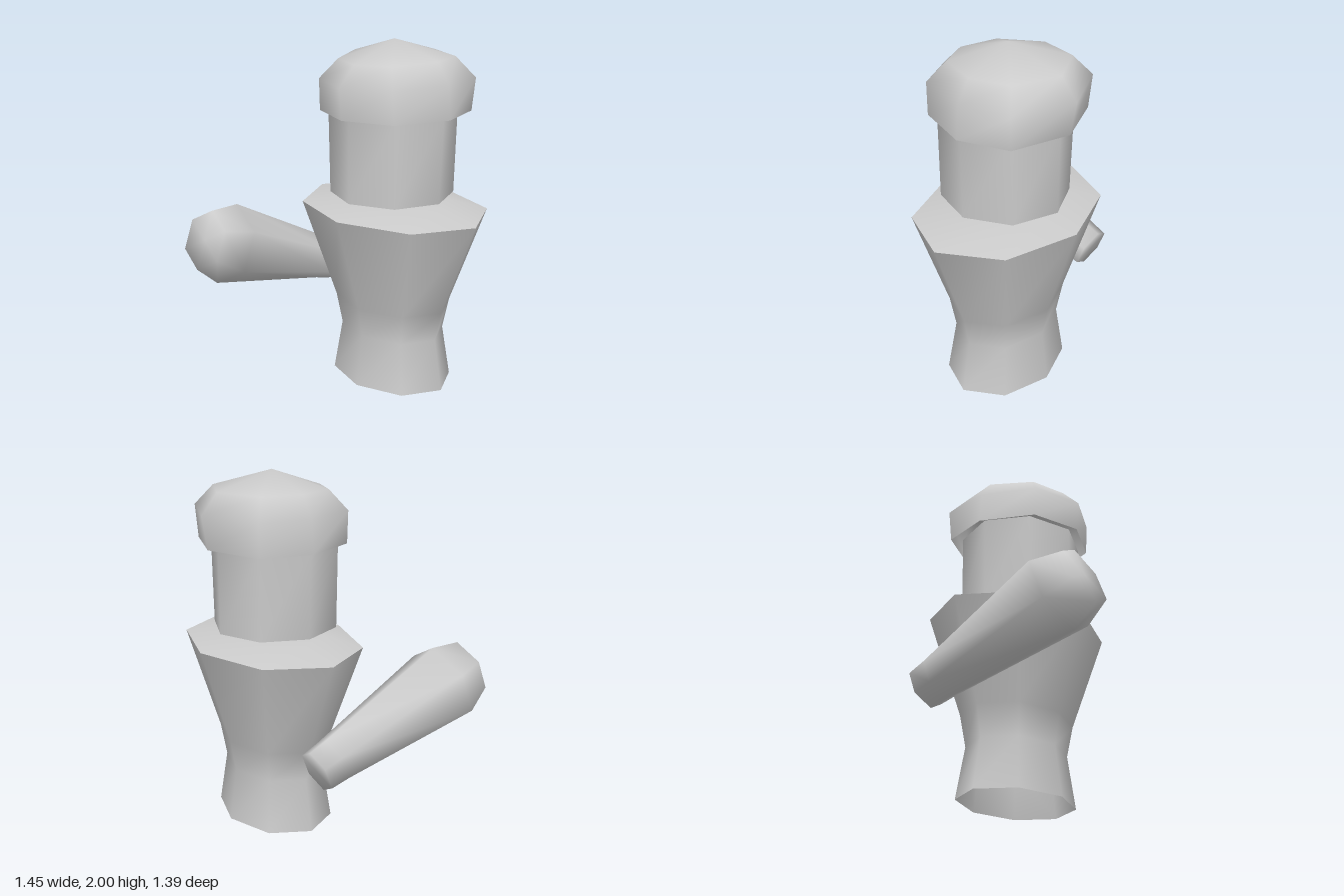
import * as THREE from 'three';

const material = new THREE.MeshStandardMaterial({ color: 0xcccccc, side: THREE.DoubleSide });

// Ring of n points around the y axis, first point towards +z
function ring(n, y, rx, rz = rx) {
  return Array.from({ length: n }, (_, i) => {
    const a = (i / n) * Math.PI * 2;
    return [rx * Math.sin(a), y, rz * Math.cos(a)];
  });
}

// Ring from its +x half (front to back), mirrored to -x
function mirroredRing(half) {
  const other = half.slice(1, -1).reverse().map(([x, y, z]) => [-x, y, z]);
  return [...half, ...other];
}

// Smooth skin through rings from bottom to top, with optional end points
function loft(name, rings, bottom, top) {
  const n = rings[0].length;
  const points = rings.flat();
  const index = [];
  for (let r = 0; r < rings.length - 1; r++) {
    for (let i = 0; i < n; i++) {
      const a = r * n + i, b = r * n + (i + 1) % n;
      index.push(a, b, b + n, a, b + n, a + n);
    }
  }
  if (bottom) {
    points.push(bottom);
    for (let i = 0; i < n; i++) index.push(points.length - 1, (i + 1) % n, i);
  }
  if (top) {
    points.push(top);
    const s = (rings.length - 1) * n;
    for (let i = 0; i < n; i++) index.push(points.length - 1, s + i, s + (i + 1) % n);
  }
  const geometry = new THREE.BufferGeometry();
  geometry.setAttribute('position', new THREE.Float32BufferAttribute(points.flat(), 3));
  geometry.setIndex(index);
  geometry.computeVertexNormals();
  const mesh = new THREE.Mesh(geometry, material);
  mesh.name = name;
  return mesh;
}

export function createModel() {
  const model = new THREE.Group();
  model.name = 'figure';

  // Torso: waisted eight-sided shell, open below
  const torso = loft('torso', [
    ring(8, 0, 0.39, 0.3),
    ring(8, 0.3, 0.335, 0.257),
    ring(8, 0.48, 0.375, 0.288),
    ring(8, 1.045, 0.597, 0.458),
  ]);
  // Shoulders: shallow slope up to a flat neck
  const shoulders = loft('shoulders',
    [ring(8, 1.045, 0.597, 0.458), ring(8, 1.095, 0.345, 0.265)], null, [0, 1.095, 0]);
  for (const part of [torso, shoulders]) part.position.set(0.125, 0, -0.238);

  // Head: nearly straight column floating above the neck
  const head = loft('head', [ring(8, 1.13, 0.352, 0.35), ring(8, 1.62, 0.37, 0.35)]);
  head.position.set(0.125, 0, -0.22);

  // Hair: cap with a wider back and a low peak
  const hair = loft('hair', [
    mirroredRing([[0, 1.605, 0.185], [0.28, 1.605, 0.075], [0.405, 1.605, -0.23],
      [0.325, 1.605, -0.51], [0, 1.605, -0.63]]),
    mirroredRing([[0, 1.78, 0.2], [0.275, 1.785, 0.085], [0.39, 1.79, -0.23],
      [0.34, 1.79, -0.52], [0, 1.79, -0.66]]),
    mirroredRing([[0, 1.89, 0.09], [0.2, 1.895, 0.01], [0.31, 1.905, -0.23],
      [0.25, 1.905, -0.45], [0, 1.905, -0.565]]),
  ], null, [0, 2, -0.225]);
  hair.position.x = 0.125;

  // Right arm: tapered six-sided limb, thick end forward and up
  const arm = loft('rightArm', [
    ring(6, -0.91, 0.125),
    ring(6, -0.8, 0.133),
    ring(6, 0, 0.236),
    ring(6, 0.169, 0.173),
  ], [0, -0.91, 0], [0, 0.169, 0]);
  arm.position.set(-0.52, 0.825, 0.478);
  arm.rotation.x = 1.212;

  model.add(torso, shoulders, head, hair, arm);
  return model;
}
